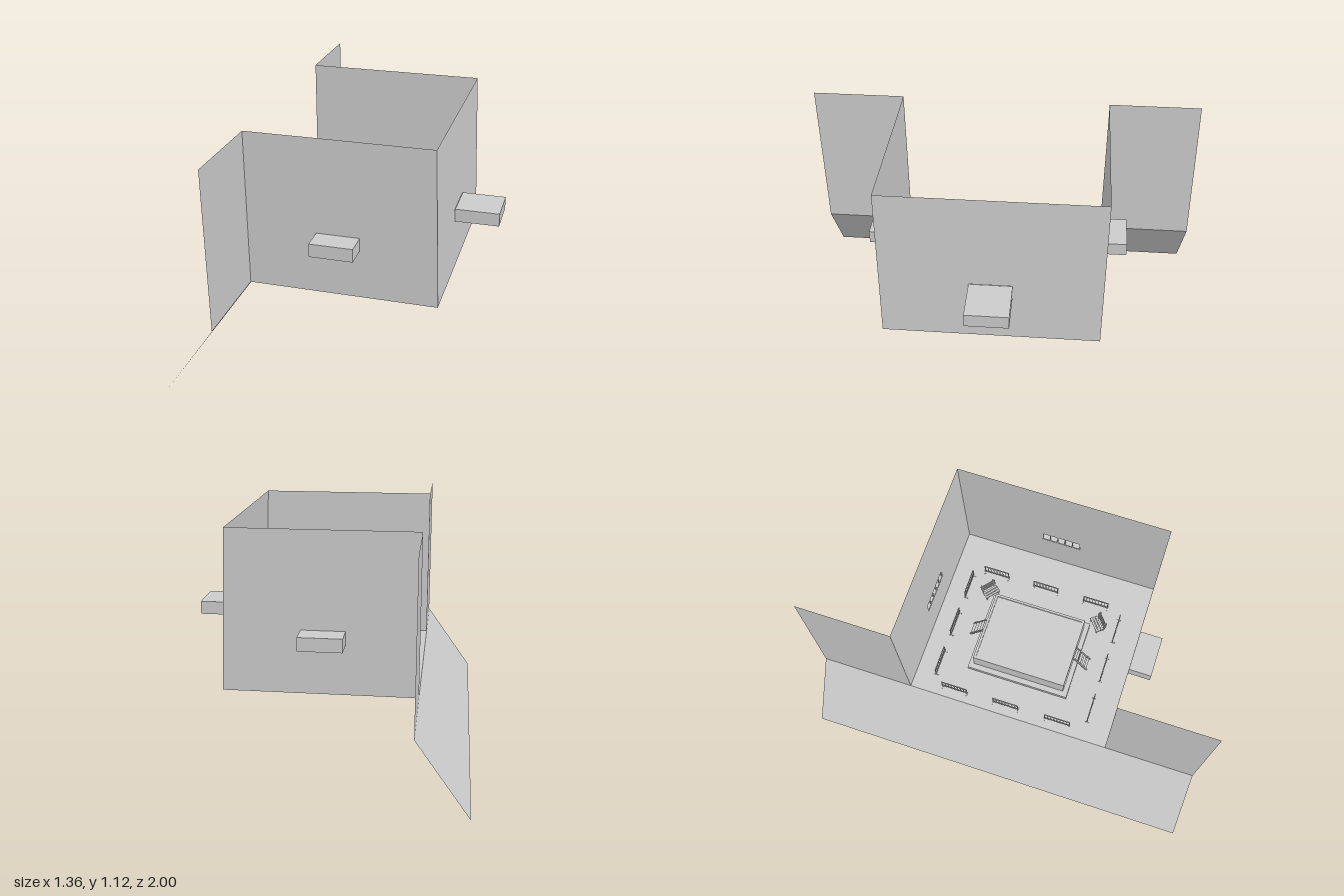
import * as THREE from 'three';

const mat = new THREE.MeshStandardMaterial({ color: 0xcccccc, side: THREE.DoubleSide, flatShading: true });
const FLOOR = 0.35, TOP = 1.12, LEFT = -0.44, HALF = 0.525;
const NICHE = { w: 0.103, y0: 0.59, y1: 0.655 };

function add(parent, name, geometry) {
  const mesh = new THREE.Mesh(geometry, mat);
  mesh.name = name;
  parent.add(mesh);
  return mesh;
}

function box(parent, name, w, h, d, x, y, z) {
  const mesh = add(parent, name, new THREE.BoxGeometry(w, h, d));
  mesh.position.set(x, y, z);
  return mesh;
}

function group(parent, name, x = 0, y = 0, z = 0, turn = 0) {
  const g = new THREE.Group();
  g.name = name;
  g.position.set(x, y, z);
  g.rotation.y = turn;
  parent.add(g);
  return g;
}

// Flat outline, optionally with a niche opening, placed in space by a rule
function sheet(parent, name, outline, place, opening) {
  const shape = new THREE.Shape(outline.map(([u, v]) => new THREE.Vector2(u, v)));
  if (opening) {
    const { w, y0, y1 } = NICHE;
    shape.holes.push(new THREE.Path([[-w, y0], [-w, y1], [w, y1], [w, y0]].map(([u, v]) => new THREE.Vector2(u, v))));
  }
  const g = new THREE.ShapeGeometry(shape);
  const p = g.attributes.position;
  for (let i = 0; i < p.count; i++) p.setXYZ(i, ...place(p.getX(i), p.getY(i)));
  g.computeVertexNormals();
  return add(parent, name, g);
}

// Hollow box open towards the room, with a barred grille in its mouth
function niche(parent, x, z, turn, depth) {
  const g = group(parent, 'wallNiche', x, 0, z, turn);
  const { w, y0, y1 } = NICHE, mid = (y0 + y1) / 2, h = y1 - y0;
  const panel = (name, pw, ph, px, py, pz, rx, ry) => {
    const m = add(g, name, new THREE.PlaneGeometry(pw, ph));
    m.position.set(px, py, pz);
    m.rotation.set(rx, ry, 0);
  };
  panel('nicheBack', 2 * w, h, 0, mid, depth, 0, 0);
  for (const y of [y0, y1]) panel('nicheShelf', 2 * w, depth, 0, y, depth / 2, Math.PI / 2, 0);
  for (const s of [-1, 1]) panel('nicheSide', depth, h, s * w, mid, depth / 2, 0, Math.PI / 2);
  for (let i = 0; i <= 5; i++) box(g, 'grilleBar', 0.005, h, 0.005, -w + 0.003 + i * (2 * w - 0.006) / 5, mid, 0.004);
  for (const y of [y0 + 0.003, y1 - 0.003]) box(g, 'grilleRail', 2 * w, 0.006, 0.006, 0, y, 0.004);
}

// Free-standing picket barrier running along local x
function fence(parent, x, z, turn) {
  const g = group(parent, 'fence', x, FLOOR, z, turn);
  for (const y of [0.018, 0.07]) box(g, 'fenceRail', 0.135, 0.005, 0.005, 0, y, 0);
  for (let i = -4; i <= 4; i++) {
    const end = Math.abs(i) === 4;
    box(g, 'fencePicket', end ? 0.005 : 0.003, end ? 0.073 : 0.052, 0.004, i * 0.0165, end ? 0.036 : 0.044, 0);
  }
  for (const s of [-1, 1]) box(g, 'fenceFoot', 0.006, 0.005, 0.026, s * 0.066, 0.001, 0);
}

// Steps leaning against the platform, top towards local -z
function ladder(parent, z, turn) {
  const g = group(parent, 'ladder', -0.042, 0, z, turn);
  const rise = 0.13, run = 0.085, angle = Math.atan2(run, rise);
  for (const s of [-1, 1]) {
    const rail = box(g, 'ladderRail', 0.006, Math.hypot(rise, run), 0.008, s * 0.03, 0.335 + rise / 2, run / 2);
    rail.rotation.x = -angle;
  }
  for (let i = 1; i <= 4; i++) {
    const t = i / 5;
    box(g, 'ladderTread', 0.06, 0.004, 0.013, 0, 0.335 + rise * t, run * (1 - t));
  }
}

// Slatted bench with a leaning back
function bench(parent, x, z, turn) {
  const g = group(parent, 'bench', x, FLOOR, z, turn);
  for (let i = 0; i < 3; i++) {
    box(g, 'seatSlat', 0.085, 0.004, 0.011, 0, 0.032, 0.022 - i * 0.014);
    box(g, 'backSlat', 0.085, 0.011, 0.004, 0, 0.043 + i * 0.014, -0.018 - i * 0.004);
  }
  for (const s of [-1, 1]) {
    box(g, 'frontLeg', 0.006, 0.038, 0.006, s * 0.034, 0.013, 0.022);
    box(g, 'rearLeg', 0.006, 0.038, 0.006, s * 0.034, 0.013, -0.016);
    box(g, 'seatBearer', 0.006, 0.005, 0.045, s * 0.034, 0.028, 0.004);
    const post = box(g, 'backPost', 0.006, 0.05, 0.005, s * 0.034, 0.054, -0.024);
    post.rotation.x = -0.28;
  }
}

export function createModel() {
  const model = new THREE.Group();
  model.name = 'walledCourt';

  // Floor and sloping apron
  sheet(model, 'floor', [[LEFT, -HALF], [0.473, -HALF], [0.473, HALF], [LEFT, HALF]], (x, z) => [x, FLOOR, z]);
  sheet(model, 'apron', [[-0.685, -1], [LEFT, -1], [LEFT, 0.985], [-0.685, 1]],
    (x, z) => [x, FLOOR * (x + 0.685) / (LEFT + 0.685), z]);

  // Three walls with openings; the end wall leans slightly inwards
  const wallX = y => 0.473 - 0.028 * (y - FLOOR) / (TOP - FLOOR);
  for (const s of [-1, 1]) {
    sheet(model, 'sideWall', [[LEFT, FLOOR], [0.473, FLOOR], [0.445, TOP], [LEFT, TOP]], (x, y) => [x, y, s * HALF], true);
    niche(model, 0, s * HALF, s > 0 ? 0 : Math.PI, 0.113);
  }
  sheet(model, 'endWall', [[-HALF, FLOOR], [HALF, FLOOR], [HALF, TOP], [-HALF, TOP]], (z, y) => [wallX(y), y, z], true);
  niche(model, 0.463, 0, Math.PI / 2, 0.215);

  // Wing walls beside the open side
  sheet(model, 'frontWing', [[HALF, FLOOR], [0.985, FLOOR], [0.99, TOP], [HALF, TOP]], (z, y) => [LEFT, y, z]);
  sheet(model, 'backWing', [[-HALF, FLOOR], [-1, FLOOR], [-0.985, TOP], [-HALF, TOP]], (z, y) => [LEFT, y, z]);

  // Central platform on a low step, with a raised rim
  const platform = group(model, 'platform', -0.045, 0, -0.007);
  box(platform, 'platformStep', 0.425, 0.03, 0.535, 0, 0.36, 0);
  box(platform, 'platformBody', 0.37, 0.09, 0.485, 0, 0.42, 0);
  for (const s of [-1, 1]) {
    box(platform, 'platformRim', 0.012, 0.008, 0.485, s * 0.179, 0.468, 0);
    box(platform, 'platformRim', 0.346, 0.008, 0.012, 0, 0.468, s * 0.2365);
  }
  ladder(model, 0.238, 0);
  ladder(model, -0.25, Math.PI);

  // Fences around the court
  for (const x of [-0.273, -0.046, 0.18]) {
    fence(model, x, -0.42, 0);
    fence(model, x, 0.4, 0);
  }
  for (const z of [-0.3, -0.024, 0.254]) {
    fence(model, -0.39, z, Math.PI / 2);
    fence(model, 0.288, z, Math.PI / 2);
  }

  // Corner benches facing the platform
  bench(model, 0.18, -0.3, -0.7);
  bench(model, 0.18, 0.3, Math.PI + 0.7);
  return model;
}
